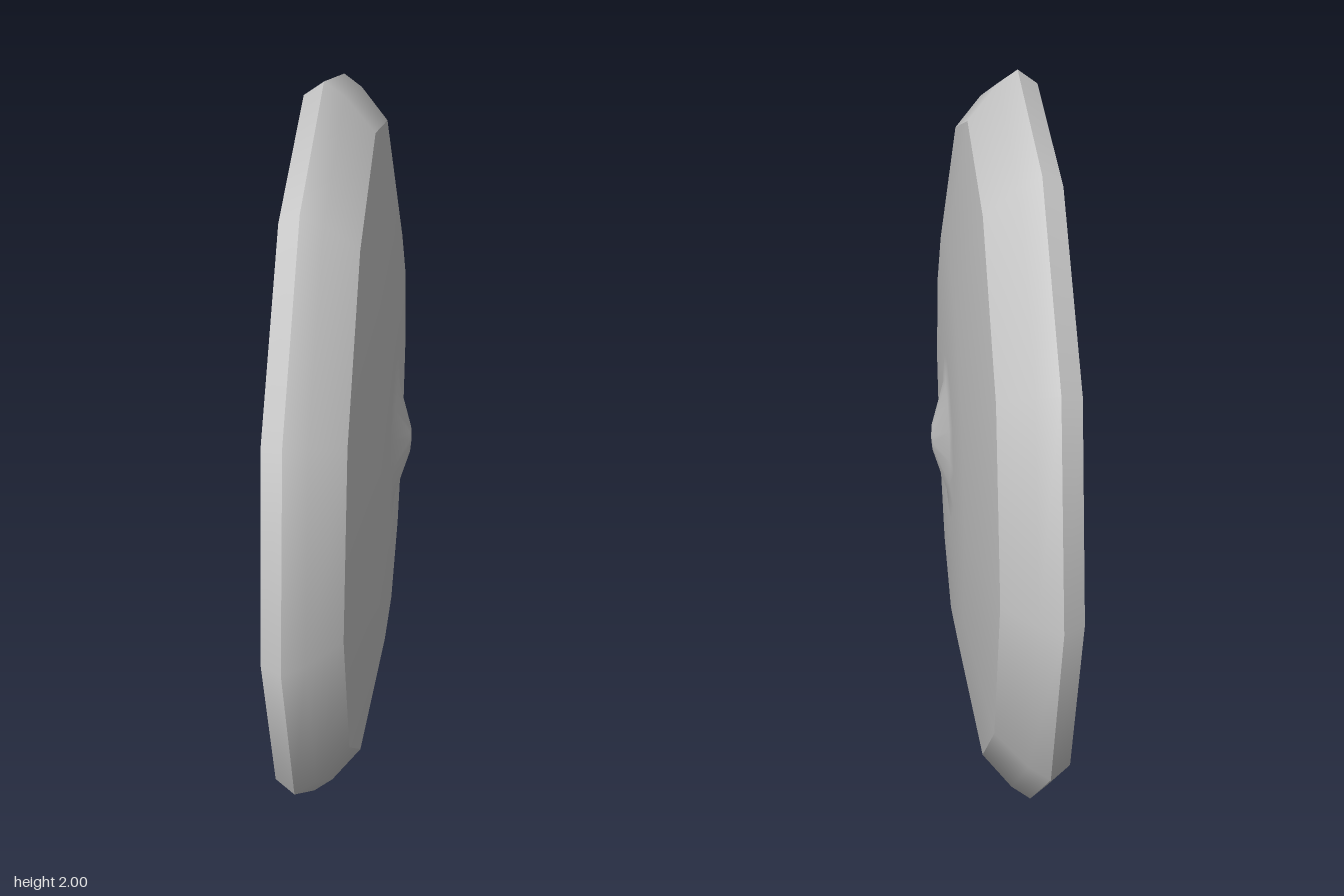
import * as THREE from 'three';

const SIDES = 12;

// Turns a [radius, x] profile around the x axis; profiles run from the hollow back to the front.
function turned(name, profile) {
  const points = profile.map(([r, x]) => new THREE.Vector2(r, x));
  const geometry = new THREE.LatheGeometry(points, SIDES);
  geometry.rotateZ(-Math.PI / 2);
  const material = new THREE.MeshStandardMaterial({ color: 0xcccccc, side: THREE.DoubleSide });
  const mesh = new THREE.Mesh(geometry, material);
  mesh.name = name;
  return mesh;
}

export function createModel() {
  const shield = new THREE.Group();
  shield.name = 'roundShield';

  // Separate bands keep the edges between them sharp.
  shield.add(
    turned('hollowBack', [[0, 0], [0.45, -0.02], [0.74, -0.07], [0.96, -0.14]]),
    turned('backRim', [[0.965, -0.14], [1, -0.09]]),
    turned('frontRim', [[1, -0.09], [0.965, -0.04], [0.875, 0.035]]),
    turned('domedFace', [[0.875, 0.035], [0.56, 0.09], [0.23, 0.093], [0.16, 0.098], [0.035, 0.137], [0, 0.14]]),
    // narrow lip closing the gap at the back edge
    turned('backLip', [[0.96, -0.14], [0.965, -0.14]])
  );

  shield.position.y = 1;
  const model = new THREE.Group();
  model.add(shield);
  return model;
}
